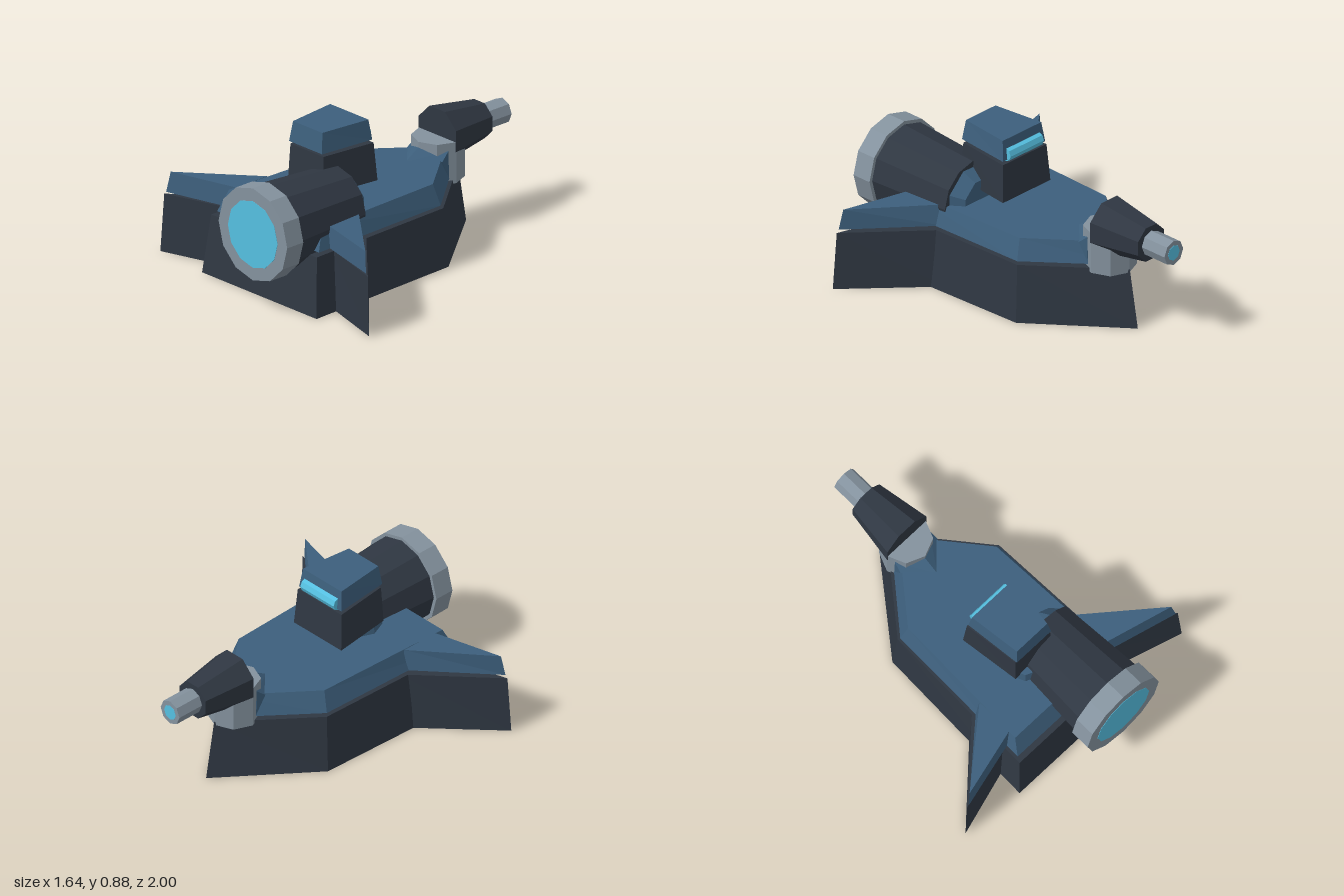
import * as THREE from 'three';
import { ConvexGeometry } from 'three/addons/geometries/ConvexGeometry.js';

const material = (color) => new THREE.MeshStandardMaterial({ color, flatShading: true });

// Tapered prism between two matching [x, z] outlines
function prism(bottom, top, y0, y1) {
  const flat = (list) => list.map(([x, z]) => new THREE.Vector2(x, z));
  let lo = flat(bottom), hi = flat(top);
  if (THREE.ShapeUtils.area(lo) < 0) { lo.reverse(); hi.reverse(); }
  const pos = [];
  const put = (p, y) => pos.push(p.x, y, p.y);
  const n = lo.length;
  for (let i = 0; i < n; i++) {
    const j = (i + 1) % n;
    put(lo[i], y0); put(hi[i], y1); put(hi[j], y1);
    put(lo[i], y0); put(hi[j], y1); put(lo[j], y0);
  }
  for (const [a, b, c] of THREE.ShapeUtils.triangulateShape(lo, [])) {
    put(lo[a], y0); put(lo[b], y0); put(lo[c], y0);
    put(hi[a], y1); put(hi[c], y1); put(hi[b], y1);
  }
  const g = new THREE.BufferGeometry();
  g.setAttribute('position', new THREE.Float32BufferAttribute(pos, 3));
  g.computeVertexNormals();
  return g;
}

// Symmetric outline with a pointed nose, a shoulder and a stern corner
const hullOutline = (nose, [sx, sz], [rx, rz]) =>
  [[0, nose], [sx, sz], [rx, rz], [-rx, rz], [-sx, sz]];
// Symmetric trapezoid
const trapezoid = (w0, z0, w1, z1) => [[-w0, z0], [w0, z0], [w1, z1], [-w1, z1]];

export function createModel() {
  const model = new THREE.Group();
  const dark = material(0x2f3742);
  const blue = material(0x3d5f7c);
  const steel = material(0x84929e);
  const glow = material(0x55bfe0);

  const add = (name, geometry, mat) => {
    const mesh = new THREE.Mesh(geometry, mat);
    mesh.name = name;
    model.add(mesh);
    return mesh;
  };
  // Cylinder lying along z, radius rBack at z0 and rFront at z1
  const tube = (name, mat, x, y, z0, z1, r0, r1, sides, turn = 0) => {
    const g = new THREE.CylinderGeometry(r1, r0, z1 - z0, sides);
    g.rotateY(turn);
    g.rotateX(Math.PI / 2);
    g.translate(x, y, (z0 + z1) / 2);
    return add(name, g, mat);
  };

  // Hull and deck
  add('hull', prism(
    hullOutline(-0.73, [0.41, -0.21], [0.45, 0.81]),
    hullOutline(-0.67, [0.385, -0.195], [0.415, 0.775]), 0, 0.34), dark);
  add('deck', prism(
    hullOutline(-0.64, [0.375, -0.185], [0.4, 0.745]),
    hullOutline(-0.58, [0.335, -0.165], [0.365, 0.69]), 0.355, 0.475), blue);

  // Wings, mirrored left and right
  for (const [side, s] of [['left', 1], ['right', -1]]) {
    const mirror = (pts) => pts.map(([x, z]) => [x * s, z]);
    add(side + 'WingBase', prism(
      mirror([[0.38, 0.355], [0.82, 0.77], [0.38, 0.64]]),
      mirror([[0.37, 0.365], [0.80, 0.76], [0.37, 0.63]]), 0, 0.34), dark);
    add(side + 'WingTop', prism(
      mirror([[0.36, 0.385], [0.785, 0.76], [0.36, 0.65]]),
      mirror([[0.36, 0.41], [0.765, 0.745], [0.36, 0.64]]), 0.355, 0.475), blue);
  }

  // Tower: pedestal, body, head and visor
  const pedestal = new THREE.CylinderGeometry(0.13, 0.15, 0.2, 8);
  pedestal.translate(0, 0.45, 0.4);
  add('towerPedestal', pedestal, blue);
  add('towerBody', prism(
    trapezoid(0.185, 0.105, 0.14, 0.465),
    trapezoid(0.17, 0.12, 0.13, 0.455), 0.53, 0.75), dark);
  add('towerHead', prism(
    trapezoid(0.165, 0.125, 0.13, 0.465),
    trapezoid(0.15, 0.14, 0.115, 0.45), 0.768, 0.885), blue);
  const visor = new THREE.CylinderGeometry(0.04, 0.04, 0.26, 8);
  visor.rotateZ(Math.PI / 2);
  visor.translate(0, 0.795, 0.14);
  add('visor', visor, glow);

  // Engine at the stern, offset to the left
  tube('engineCap', blue, 0.15, 0.46, 0.295, 0.37, 0.14, 0.2, 8, Math.PI / 8);
  tube('engineBody', dark, 0.15, 0.46, 0.365, 0.885, 0.217, 0.25, 12);
  tube('engineRing', steel, 0.15, 0.46, 0.88, 1, 0.27, 0.27, 12);
  tube('engineGlow', glow, 0.15, 0.46, 0.98, 1.002, 0.195, 0.195, 12);

  // Gun: mount, fairing, housing and barrel
  const mount = new THREE.CylinderGeometry(0.146, 0.146, 0.24, 8);
  mount.translate(0, 0.44, -0.52);
  add('gunMount', mount, steel);
  const corners = [[0, 0.47, -0.28], [0, 0.54, -0.395]];
  for (const s of [1, -1]) {
    corners.push([s * 0.14, 0.47, -0.42], [s * 0.13, 0.515, -0.475], [s * 0.13, 0.36, -0.48]);
  }
  add('gunFairing', new ConvexGeometry(corners.map((c) => new THREE.Vector3(...c))), blue);
  tube('gunHousing', dark, 0, 0.565, -0.83, -0.515, 0.11, 0.16, 8, Math.PI / 8);
  tube('gunBarrel', steel, 0, 0.565, -1, -0.82, 0.073, 0.073, 8);
  tube('muzzleGlow', glow, 0, 0.565, -1.001, -0.99, 0.045, 0.045, 8);

  return model;
}
